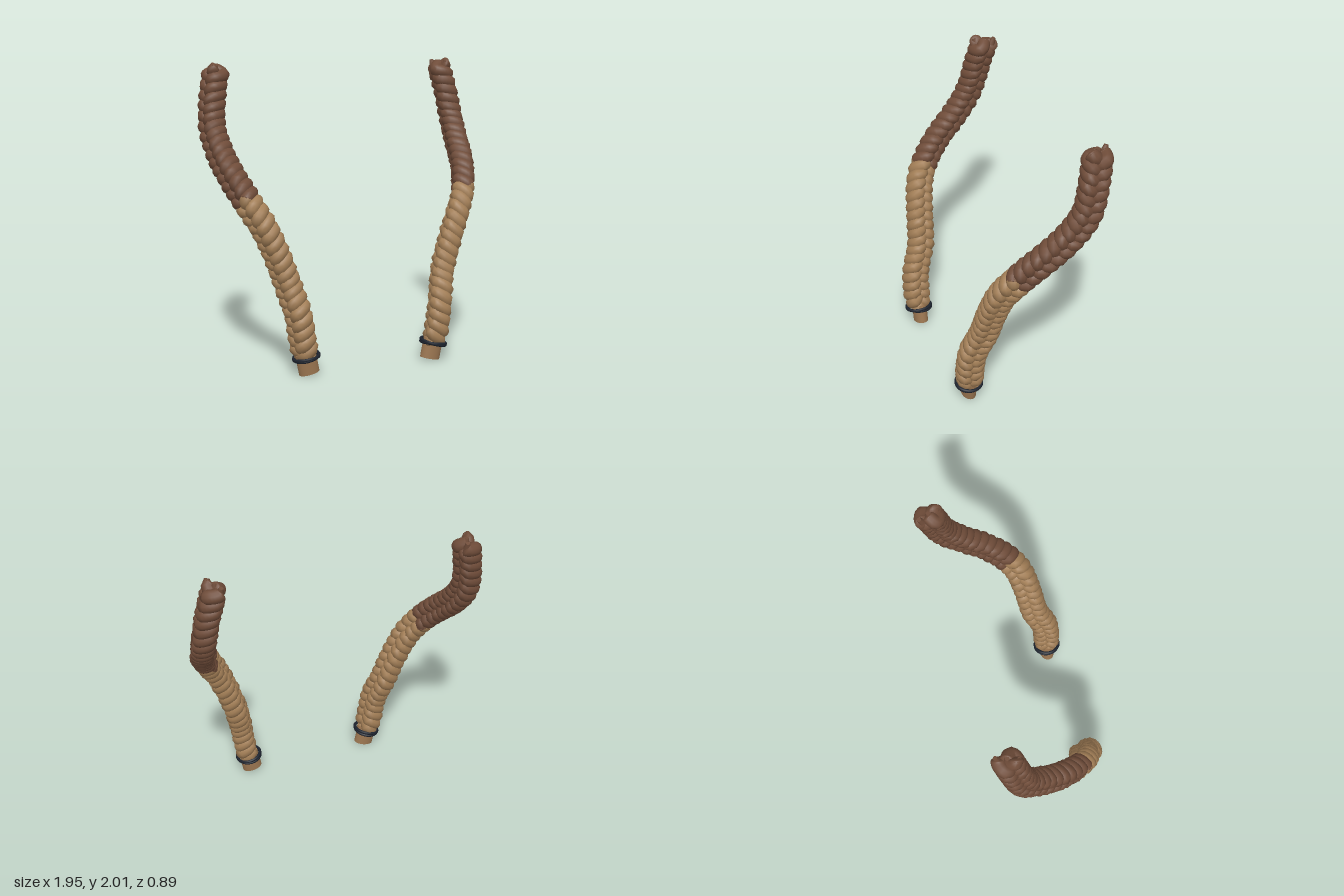
import * as THREE from 'three';

const mat = (name, color) => {
  const m = new THREE.MeshStandardMaterial({ color });
  m.name = name;
  return m;
};

// Centre line of the left braid, from the tie to the tip
const CENTRE = [
  [0.465, 0.125, 0.337], [0.49, 0.25, 0.345], [0.515, 0.42, 0.333], [0.56, 0.6, 0.272],
  [0.625, 0.8, 0.246], [0.71, 1.0, 0.208], [0.765, 1.1, 0.16], [0.808, 1.2, 0.085],
  [0.847, 1.3, -0.012], [0.87, 1.4, -0.122], [0.884, 1.5, -0.21], [0.888, 1.6, -0.27],
  [0.865, 1.8, -0.32], [0.83, 1.955, -0.352],
];
const CROSSINGS = 10.5;         // full weave cycles along the braid
const SPREAD = 0.052, DEPTH = 0.034, RADIUS = 0.047, TWIST = 0.25;

// One strand of the three-strand weave, between two fractions of the centre line
class StrandCurve extends THREE.Curve {
  constructor(path, side, phase, from, to) {
    super();
    Object.assign(this, { path, side, phase, from, to });
  }
  getPoint(t, target = new THREE.Vector3()) {
    const s = this.from + (this.to - this.from) * t;
    const tangent = this.path.getTangentAt(s);
    const out = new THREE.Vector3(1, 0, 0).addScaledVector(tangent, -tangent.x).normalize();
    const across = new THREE.Vector3().crossVectors(out, tangent).normalize();
    out.applyAxisAngle(tangent, -TWIST);
    across.applyAxisAngle(tangent, -TWIST);
    const a = s * CROSSINGS * Math.PI * 2 + this.phase;
    const gather = 0.6 + 0.4 * Math.min(1, s / 0.03);   // drawn in by the tie
    target.copy(this.path.getPointAt(s))
      .addScaledVector(across, gather * SPREAD * Math.sin(a))
      .addScaledVector(out, gather * DEPTH * Math.sin(2 * a));
    target.x *= this.side;
    return target;
  }
}

export function createModel() {
  const model = new THREE.Group();
  model.name = 'braids';
  const light = mat('lightBrownHair', 0xa27e56);
  const dark = mat('darkBrownHair', 0x6f4c39);
  const stubMat = mat('hairEnd', 0x9a7550);
  const tieMat = mat('hairTie', 0x1d232e);

  const path = new THREE.CatmullRomCurve3(CENTRE.map(p => new THREE.Vector3(...p)), false, 'centripetal');
  let split = 0;
  while (path.getPointAt(split).y < 1.135) split += 0.002;

  for (const side of [1, -1]) {
    const braid = new THREE.Group();
    braid.name = side > 0 ? 'leftBraid' : 'rightBraid';
    model.add(braid);
    const add = (name, geometry, material) => {
      const mesh = new THREE.Mesh(geometry, material);
      mesh.name = name;
      braid.add(mesh);
      return mesh;
    };

    // Woven strands, light below and dark above, with rounded ends
    for (let i = 0; i < 3; i++) {
      const phase = i * Math.PI * 2 / 3;
      const lower = new StrandCurve(path, side, phase, 0, split);
      const upper = new StrandCurve(path, side, phase, split, 1);
      add('lightStrand', new THREE.TubeGeometry(lower, 140, RADIUS, 12), light);
      add('darkStrand', new THREE.TubeGeometry(upper, 140, RADIUS, 12), dark);
      const ends = [
        ['strandBase', lower, 0, light], ['strandJoin', upper, 0, dark], ['strandTip', upper, 1, dark],
      ];
      for (const [name, curve, t, material] of ends) {
        const cap = add(name, new THREE.SphereGeometry(RADIUS, 12, 8), material);
        cap.position.copy(curve.getPoint(t));
        cap.scale.z = 0.4;
        cap.lookAt(cap.position.clone().add(curve.getTangent(t)));
      }
      // Loose wisp at the tip
      const root = upper.getPoint(1);
      const lean = root.clone().sub(new THREE.Vector3(side * 0.83, 1.955, -0.352));
      const wisp = add('looseWisp', new THREE.CylinderGeometry(0.014, 0.026, 0.05, 8), dark);
      wisp.position.copy(root).addScaledVector(lean, 0.2);
      wisp.position.y = 1.97;
      wisp.rotation.set(lean.z * 7, 0, -lean.x * 7);
    }

    // Flattened end of the hair below the tie
    const stub = add('hairStub', new THREE.CylinderGeometry(0.07, 0.07, 0.14, 24), stubMat);
    stub.scale.z = 0.72;
    stub.position.set(side * 0.453, 0.083, 0.337);
    stub.rotation.z = -side * 0.2;

    // Two thin bands of the tie, tilted against each other
    for (const [tilt, pitch, y] of [[0.24, 0.05, 0.127], [0.14, -0.08, 0.122]]) {
      const band = add('hairTie', new THREE.TorusGeometry(0.084, 0.011, 8, 32).rotateX(Math.PI / 2), tieMat);
      band.scale.z = 1.05;
      band.position.set(side * 0.462, y, 0.342);
      band.rotation.set(pitch, 0, -side * tilt);
    }
  }
  return model;
}
